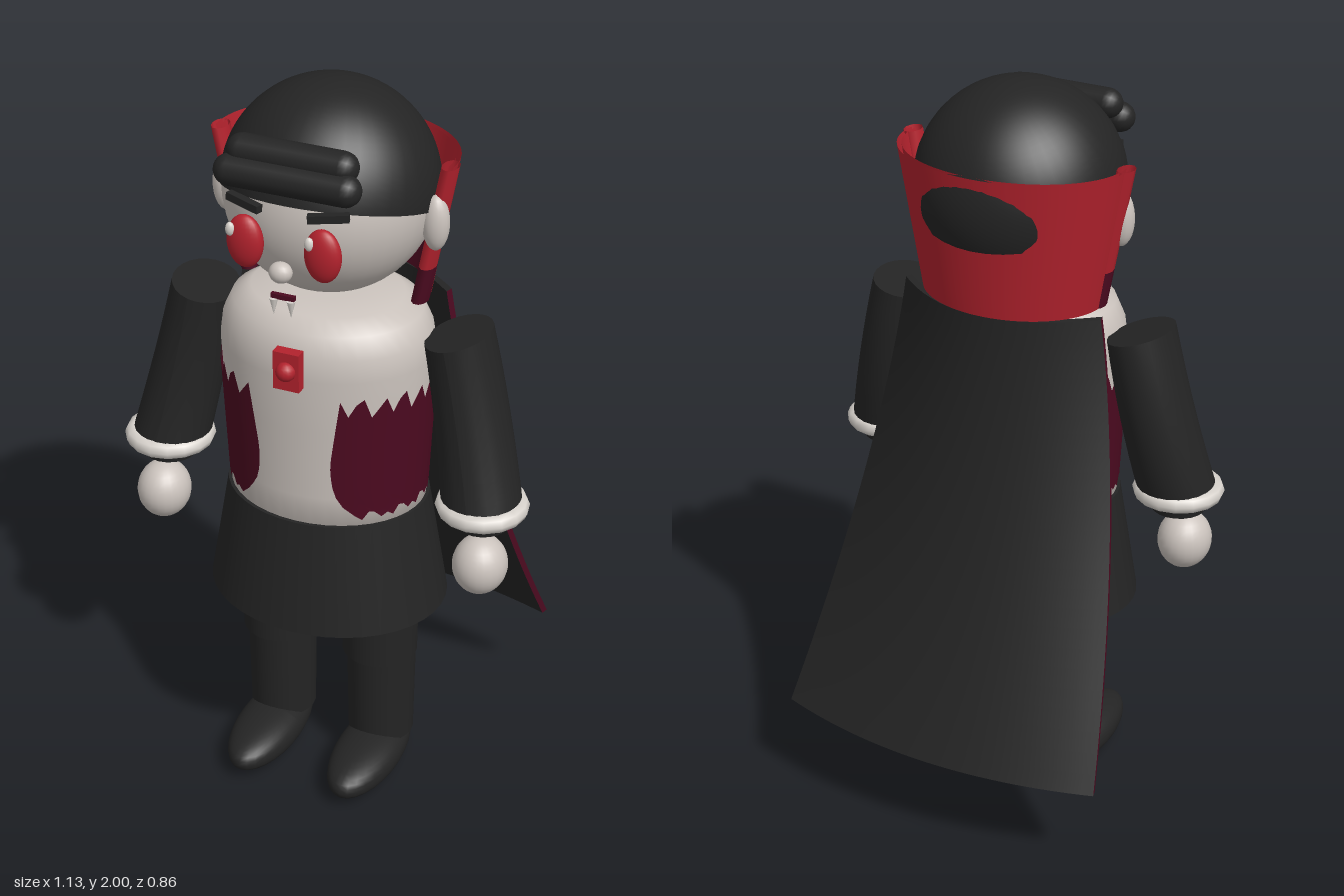
import * as THREE from 'three';

const mat = (name, color, side = THREE.FrontSide) => {
  const m = new THREE.MeshStandardMaterial({ color, side });
  m.name = name;
  return m;
};

export function createModel() {
  const black = mat('black', 0x242424, THREE.DoubleSide);
  const pale = mat('paleSkin', 0xcbc3bd);
  const white = mat('cuffWhite', 0xd8d3cd);
  const red = mat('red', 0xb3222d, THREE.DoubleSide);
  const wine = mat('wineRed', 0x4c0a20, THREE.DoubleSide);

  const model = new THREE.Group();
  model.name = 'capedFigure';

  const add = (parent, name, geo, material, x = 0, y = 0, z = 0) => {
    const m = new THREE.Mesh(geo, material);
    m.name = name;
    m.position.set(x, y, z);
    parent.add(m);
    return m;
  };
  const ball = (rx, ry, rz, n = 24) => new THREE.SphereGeometry(1, n, Math.ceil(n * 0.7)).scale(rx, ry, rz);
  // Open sheet from a rule (u, v in 0..1) -> [x, y, z]
  const sheet = (fn, nu, nv) => {
    const pos = [], idx = [];
    for (let j = 0; j <= nv; j++) for (let i = 0; i <= nu; i++) pos.push(...fn(i / nu, j / nv));
    for (let j = 0; j < nv; j++) for (let i = 0; i < nu; i++) {
      const a = j * (nu + 1) + i, b = a + nu + 1;
      idx.push(a, b, a + 1, a + 1, b, b + 1);
    }
    const g = new THREE.BufferGeometry();
    g.setAttribute('position', new THREE.Float32BufferAttribute(pos, 3));
    g.setIndex(idx);
    g.computeVertexNormals();
    return g;
  };
  const lerp = THREE.MathUtils.lerp;

  // Torso
  const profile = [[0, 0.8], [0.262, 0.8], [0.265, 0.95], [0.275, 1.15], [0.283, 1.3], [0.275, 1.36], [0.25, 1.415], [0.2, 1.447], [0.1, 1.455], [0, 1.456]];
  const torso = new THREE.LatheGeometry(profile.map(p => new THREE.Vector2(...p)), 40).scale(1, 1, 0.83);
  add(model, 'torso', torso, pale, 0, 0, 0.12);

  // Waistcoat: thin shell with ragged hems, open at the front
  const torsoRadius = y => y < 1.15 ? lerp(0.265, 0.275, (y - 0.95) / 0.2) : lerp(0.275, 0.283, (y - 1.15) / 0.15);
  const waistcoat = sheet((u, v) => {
    const k = Math.round(u * 72);
    const top = 1.225 + [0.025, -0.02, 0.015, 0.03, -0.025, 0][k % 6];
    const low = 0.9 + [0, -0.012, 0.012, 0.008, -0.01][k % 5];
    const y = lerp(low, top, v);
    const open = 0.36 + 0.17 * Math.max(0, v - 0.45) + 0.25 * Math.pow(1 - v, 8);
    const a = lerp(open, Math.PI * 2 - open, u), r = torsoRadius(y) + 0.006;
    return [r * Math.sin(a), y, 0.12 + 0.83 * r * Math.cos(a)];
  }, 72, 12);
  add(model, 'waistcoat', waistcoat, wine);

  // Coat skirt
  add(model, 'coatSkirt', new THREE.CylinderGeometry(0.272, 0.325, 0.315, 40).scale(1, 1, 0.84), black, 0, 0.7125, 0.12);

  // Medallion
  add(model, 'medallionPlate', new THREE.BoxGeometry(0.07, 0.105, 0.03), red, 0, 1.333, 0.365);
  add(model, 'medallionGem', ball(0.026, 0.026, 0.026, 14), red, 0, 1.335, 0.38);

  // Head and hair
  add(model, 'head', ball(0.27, 0.27, 0.27, 40), pale, 0, 1.724, 0.1);
  const hair = add(model, 'hair', new THREE.SphereGeometry(0.276, 40, 24, 0, Math.PI * 2, 0, Math.PI / 2 + 0.08), black, 0, 1.724, 0.1);
  hair.rotation.x = -0.29;
  for (const [y, z, half] of [[1.888, 0.325, 0.17], [1.845, 0.357, 0.19]]) {
    const roll = new THREE.CapsuleGeometry(0.04, 2 * half - 0.08, 6, 16).rotateZ(Math.PI / 2);
    add(model, 'hairRoll', roll, black, 0, y, z);
  }

  // Face centre
  add(model, 'nose', ball(0.03, 0.027, 0.026, 16), pale, 0, 1.62, 0.4);
  add(model, 'mouth', new THREE.BoxGeometry(0.062, 0.013, 0.012), wine, 0, 1.548, 0.388);
  for (const x of [-0.132, 0.075]) add(model, 'eyeGlint', ball(0.012, 0.018, 0.01, 12), white, x, 1.71, 0.4);

  // Collar: half ring behind the head, flaring upwards
  const collar = (y0, y1, inset) => sheet((u, v) => {
    const y = lerp(y0, y1, v), t = (y - 1.44) / 0.38;
    const a = lerp(-0.08, Math.PI + 0.08, u);
    return [(lerp(0.25, 0.318, t) - inset) * Math.cos(a), y, 0.07 - (lerp(0.2, 0.24, t) - inset) * Math.sin(a)];
  }, 40, 8);
  add(model, 'collar', collar(1.44, 1.82, 0), red);
  add(model, 'collarInside', collar(1.55, 1.82, 0.012), red);
  add(model, 'collarLining', collar(1.44, 1.55, 0.012), wine);

  // Cape: curved sheet sweeping back to a wide hem
  const capePoint = (u, v, inset) => {
    const s = 2 * u - 1, y = lerp(1.44, 0.265, v);
    const drop = Math.pow(v, 1.75);
    const edge = lerp(0, -0.35, drop), mid = lerp(-0.13, -0.43, drop);
    return [s * (lerp(0.287, 0.47, v) - inset * 0.3), y, mid + (edge - mid) * s * s + inset];
  };
  const thick = 0.02;
  const cape = new THREE.Group();
  cape.name = 'cape';
  model.add(cape);
  add(cape, 'capeOutside', sheet((u, v) => capePoint(1 - u, v, 0), 28, 24), black);
  add(cape, 'capeInside', sheet((u, v) => capePoint(u, v, thick), 28, 24), black);
  for (const e of [0, 1]) {
    add(cape, 'capeSideEdge', sheet((u, v) => capePoint(e, v, u * thick), 1, 24), wine);
    add(cape, e ? 'capeHem' : 'capeTopEdge', sheet((u, v) => capePoint(u, e, v * thick), 28, 1), black);
  }
  add(cape, 'capeLining', sheet((u, v) => {
    const t = lerp(0.1, 0.79, v), half = 0.04 + 0.25 * (1 - v);
    return capePoint(0.5 + (u - 0.5) * half * 2, t, thick + 0.005);
  }, 12, 16), wine);

  // Sleeve: cylinder bent forward, with a sloping shoulder
  const sleeve = new THREE.CylinderGeometry(1, 1, 1, 24, 8);
  const p = sleeve.attributes.position;
  for (let i = 0; i < p.count; i++) {
    const t = 0.5 - p.getY(i);
    const dx = p.getX(i) * lerp(0.083, 0.106, t), dz = p.getZ(i) * lerp(0.108, 0.106, t);
    p.setXYZ(i, 0.35 + 0.095 * t + dx, 1.38 - 0.46 * t + 0.25 * dx * (1 - t), 0.107 + 0.053 * t * t + dz);
  }
  sleeve.computeVertexNormals();

  // Shoe: long ellipsoid with fuller top and sole
  const shoe = new THREE.SphereGeometry(1, 28, 20);
  const q = shoe.attributes.position;
  for (let i = 0; i < q.count; i++) {
    const y = q.getY(i);
    q.setXYZ(i, q.getX(i) * 0.09, Math.sign(y) * Math.pow(Math.abs(y), 0.85) * 0.058, q.getZ(i) * 0.21);
  }
  shoe.computeVertexNormals();

  // Paired parts, mirrored across x
  for (const s of [1, -1]) {
    const side = new THREE.Group();
    side.name = s > 0 ? 'leftSide' : 'rightSide';
    side.scale.x = s;
    model.add(side);

    add(side, 'sleeve', sleeve, black);
    add(side, 'sleeveEnd', new THREE.CylinderGeometry(0.085, 0.072, 0.06, 20), black, 0.447, 0.905, 0.16);
    add(side, 'cuff', new THREE.TorusGeometry(0.098, 0.024, 8, 16).rotateX(Math.PI / 2), white, 0.445, 0.93, 0.16);
    add(side, 'hand', ball(0.072, 0.081, 0.077), pale, 0.455, 0.767, 0.19);

    add(side, 'thigh', new THREE.CylinderGeometry(0.105, 0.102, 0.22, 24), black, 0.148, 0.475, 0.117);
    add(side, 'shin', new THREE.CylinderGeometry(0.095, 0.09, 0.3, 24), black, 0.148, 0.24, 0.105);
    add(side, 'shoe', shoe, black, 0.15, 0.058, 0.19);

    add(side, 'ear', ball(0.035, 0.074, 0.033, 18), pale, 0.283, 1.675, 0.11);
    add(side, 'eye', ball(0.048, 0.07, 0.028), red, 0.102, 1.675, 0.38);
    const brow = add(side, 'eyebrow', new THREE.BoxGeometry(0.1, 0.02, 0.02), black, 0.11, 1.77, 0.365);
    brow.rotation.set(0, 0.3, 0.08);
    add(side, 'fang', new THREE.ConeGeometry(0.011, 0.045, 10).rotateX(Math.PI), white, 0.023, 1.52, 0.393);

    // Turned-out collar front, in two colours
    const flap = (name, y0, y1, m) => add(side, name, sheet((u, v) => {
      const y = lerp(y0, y1, v), t = (y - 1.44) / 0.38, a = u * Math.PI * 2;
      return [lerp(0.235, 0.308, t) + 0.022 * Math.cos(a), y, 0.082 + 0.033 * Math.sin(a)];
    }, 10, 3), m);
    flap('collarFlap', 1.54, 1.82, red);
    flap('collarFlapBase', 1.44, 1.54, wine);
  }

  return model;
}
